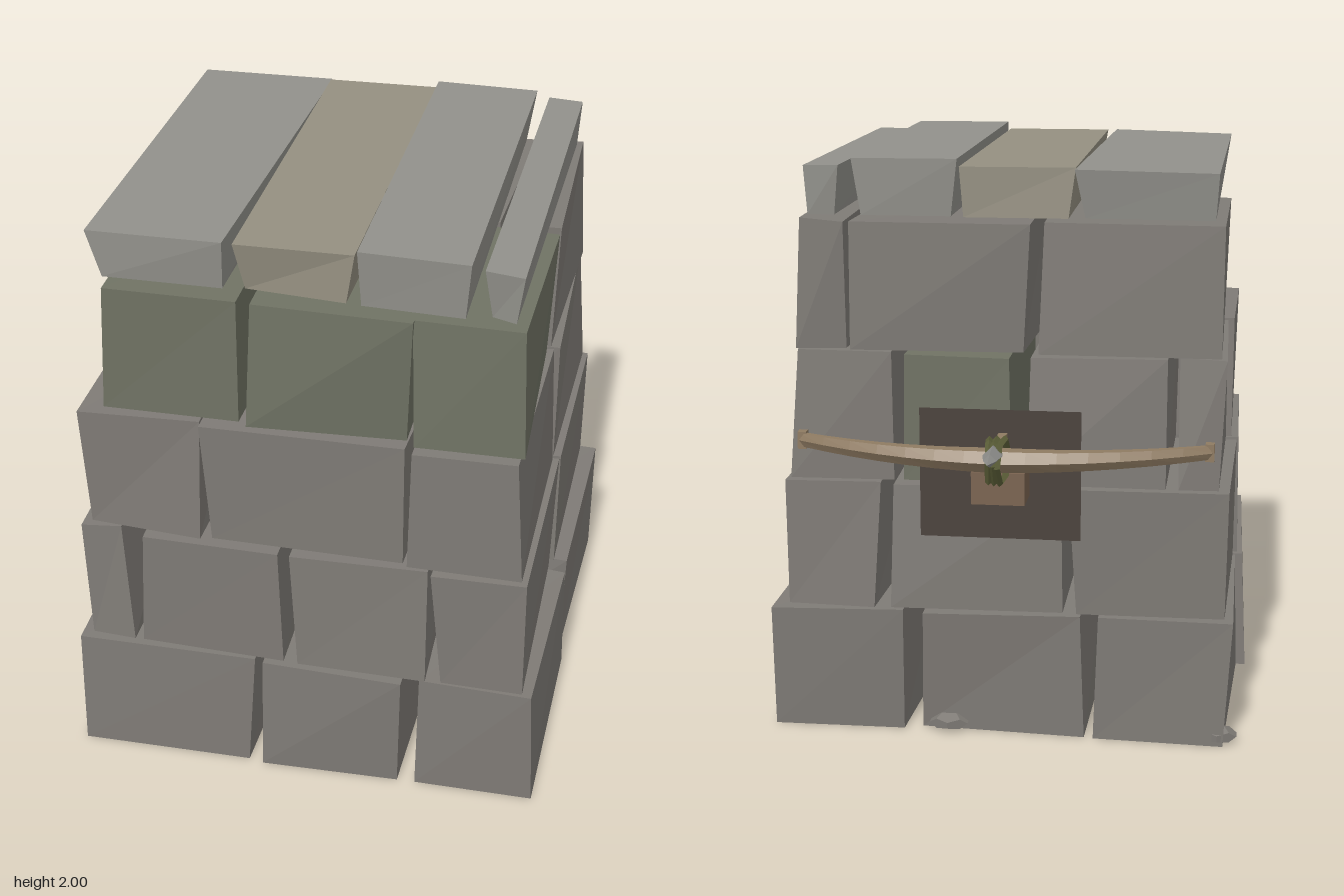
import * as THREE from 'three';

const mat = (color, side = THREE.FrontSide) => new THREE.MeshStandardMaterial({ color, side, flatShading: true });
// Wall stones are open underneath, so both of their sides show
const stone = mat(0x7f7b76, THREE.DoubleSide), moss = mat(0x707364, THREE.DoubleSide);
const paleStone = mat(0x92918b), tan = mat(0x959081);
const wood = mat(0x8f7b62), beamWood = mat(0x7a6350), darkWood = mat(0x4a413b, THREE.DoubleSide);
const rope = mat(0x5c5f38), steel = mat(0x8f8f8c);

// Small seeded generator for the rough stone corners
let seed = 7;
const rand = () => {
  seed = (seed * 16807) % 2147483647;
  return seed / 2147483647;
};

function add(parent, name, geometry, material, x = 0, y = 0, z = 0) {
  const mesh = new THREE.Mesh(geometry, material);
  mesh.name = name;
  mesh.position.set(x, y, z);
  parent.add(mesh);
  return mesh;
}

// Box whose eight corners are each pulled slightly inward
function roughBlock([x0, x1], [y0, y1], [z0, z1], amount) {
  const corners = [];
  for (let i = 0; i < 8; i++) {
    const inset = () => amount * rand() * rand() * 1.5;
    corners.push([
      i & 1 ? x1 - inset() : x0 + inset(),
      i & 2 ? y1 - inset() * 0.4 : y0,
      i & 4 ? z1 - inset() : z0 + inset(),
    ]);
  }
  const geo = new THREE.BoxGeometry(1, 1, 1);
  const p = geo.attributes.position;
  for (let i = 0; i < p.count; i++) {
    const c = (p.getX(i) > 0 ? 1 : 0) + (p.getY(i) > 0 ? 2 : 0) + (p.getZ(i) > 0 ? 4 : 0);
    p.setXYZ(i, ...corners[c]);
  }
  geo.computeVertexNormals();
  return geo;
}

// Rough block without its bottom face (the fourth of the box's six faces)
function wallStone(x, y, z) {
  const geo = roughBlock(x, y, z, 0.034);
  const index = Array.from(geo.index.array);
  index.splice(18, 6);
  geo.setIndex(index);
  return geo;
}

// Courses: outer z limits, x spans of the front and back stones (and how far
// a stone is set back from the wall face), mossy ones
const courses = [
  { z: [-0.625, 1.0], front: [[-0.82, -0.15], [-0.14, 0.37], [0.4, 0.82, 0.03]],
    back: [[-0.79, -0.3], [-0.29, 0.3, 0.01], [0.32, 0.82]], mossFront: [], mossBack: [] },
  { z: [-0.615, 0.97], front: [[-0.78, -0.58], [-0.57, -0.05], [-0.03, 0.44], [0.45, 0.77]],
    back: [[-0.77, -0.21], [-0.2, 0.41], [0.42, 0.77]], mossFront: [], mossBack: [] },
  { z: [-0.575, 0.94], front: [[-0.75, -0.325], [-0.33, 0.385], [0.365, 0.755]],
    back: [[-0.75, -0.56], [-0.55, -0.05], [-0.03, 0.38], [0.385, 0.75]], mossFront: [], mossBack: [2] },
  { z: [-0.55, 0.91], front: [[-0.67, -0.2], [-0.18, 0.37], [0.365, 0.735]],
    back: [[-0.73, -0.1], [-0.09, 0.54], [0.55, 0.73]], mossFront: [0, 1, 2], mossBack: [] },
];

function buildWalls() {
  const walls = new THREE.Group();
  walls.name = 'stoneWalls';
  courses.forEach((c, row) => {
    const y = [row * 0.45, row * 0.45 + 0.45];
    c.front.forEach(([x0, x1, setback = 0], i) => add(walls, 'frontStone',
      wallStone([x0, x1], y, [0.185, c.z[1] - setback]), c.mossFront.includes(i) ? moss : stone));
    c.back.forEach(([x0, x1, setback = 0], i) => add(walls, 'backStone',
      wallStone([x0, x1], y, [c.z[0] + setback, 0.18]), c.mossBack.includes(i) ? moss : stone));
  });
  return walls;
}

// Long slabs across the top, flaring a little upward
function buildRoof() {
  const roof = new THREE.Group();
  roof.name = 'roofSlabs';
  const slabs = [
    [-0.715, -0.225, 1.975, paleStone], [-0.23, 0.17, 1.975, tan],
    [0.165, 0.55, 2.0, paleStone], [0.555, 0.705, 1.975, paleStone],
  ];
  for (const [x0, x1, top, material] of slabs) {
    const geo = roughBlock([x0, x1], [1.805, top], [-0.515, 0.865], 0.03);
    const p = geo.attributes.position, mid = (x0 + x1) / 2;
    for (let i = 0; i < p.count; i++) {
      if (p.getY(i) < 1.85) {
        p.setX(i, p.getX(i) - Math.sign(p.getX(i) - mid) * 0.02);
        p.setZ(i, p.getZ(i) * 0.99);
      }
    }
    geo.computeVertexNormals();
    add(roof, 'roofSlab', geo, material);
  }
  return roof;
}

// Bow limbs: six-sided rod, bent back and thinned toward the tips
function bowGeometry() {
  const geo = new THREE.CylinderGeometry(1, 1, 1.42, 6, 14).rotateZ(Math.PI / 2);
  const p = geo.attributes.position;
  for (let i = 0; i < p.count; i++) {
    const x = p.getX(i), t = Math.abs(x) / 0.71;
    p.setXYZ(i, x, p.getY(i) * (0.042 - 0.016 * t), p.getZ(i) * (0.055 - 0.035 * t) - 0.8 + 0.2 * t * t);
  }
  return geo;
}

function buildCrossbow() {
  const bow = new THREE.Group();
  bow.name = 'crossbow';
  add(bow, 'mountingPanel', new THREE.PlaneGeometry(0.55, 0.45), darkWood, 0.01, 0.95, -0.63);
  add(bow, 'beam', new THREE.BoxGeometry(0.18, 0.11, 1.5), beamWood, 0, 0.935, -0.01);
  add(bow, 'bowLimbs', bowGeometry(), wood, 0, 1.045, 0);
  for (const side of [-1, 1])
    add(bow, 'limbTip', new THREE.BoxGeometry(0.03, 0.06, 0.035), wood, side * 0.695, 1.045, -0.605);

  // Rope binding around the centre of the bow
  for (const k of [-1, 0, 1]) {
    const ring = add(bow, 'ropeBinding',
      new THREE.TorusGeometry(0.075, 0.012, 4, 6).rotateY(Math.PI / 2), rope, k * 0.022, 1.045, -0.805);
    ring.rotation.set(k * 0.1, k * 0.12, 0);
  }

  // Bolt resting on the beam
  add(bow, 'boltShaft', new THREE.BoxGeometry(0.03, 0.03, 0.4), wood, 0, 1.08, -0.68);
  const head = [[0, 0], [0.02, 0], [0.033, 0.07], [0.022, 0.14], [0, 0.2]]
    .map(([r, y]) => new THREE.Vector2(r, y));
  add(bow, 'boltHead', new THREE.LatheGeometry(head, 4).rotateX(-Math.PI / 2), steel, 0, 1.08, -0.8);
  return bow;
}

// Flat pebbles wedged under the back wall
function buildPebbles() {
  const pebbles = new THREE.Group();
  pebbles.name = 'pebbles';
  for (const [x, z] of [[-0.74, -0.58], [0.2, -0.58]]) {
    const geo = new THREE.DodecahedronGeometry(0.06, 0).scale(1.2, 0.5, 0.9);
    add(pebbles, 'pebble', geo, stone, x, 0.03, z);
  }
  return pebbles;
}

export function createModel() {
  seed = 7;
  const model = new THREE.Group();
  model.name = 'stoneTower';
  model.add(buildWalls(), buildRoof(), buildCrossbow(), buildPebbles());
  return model;
}
